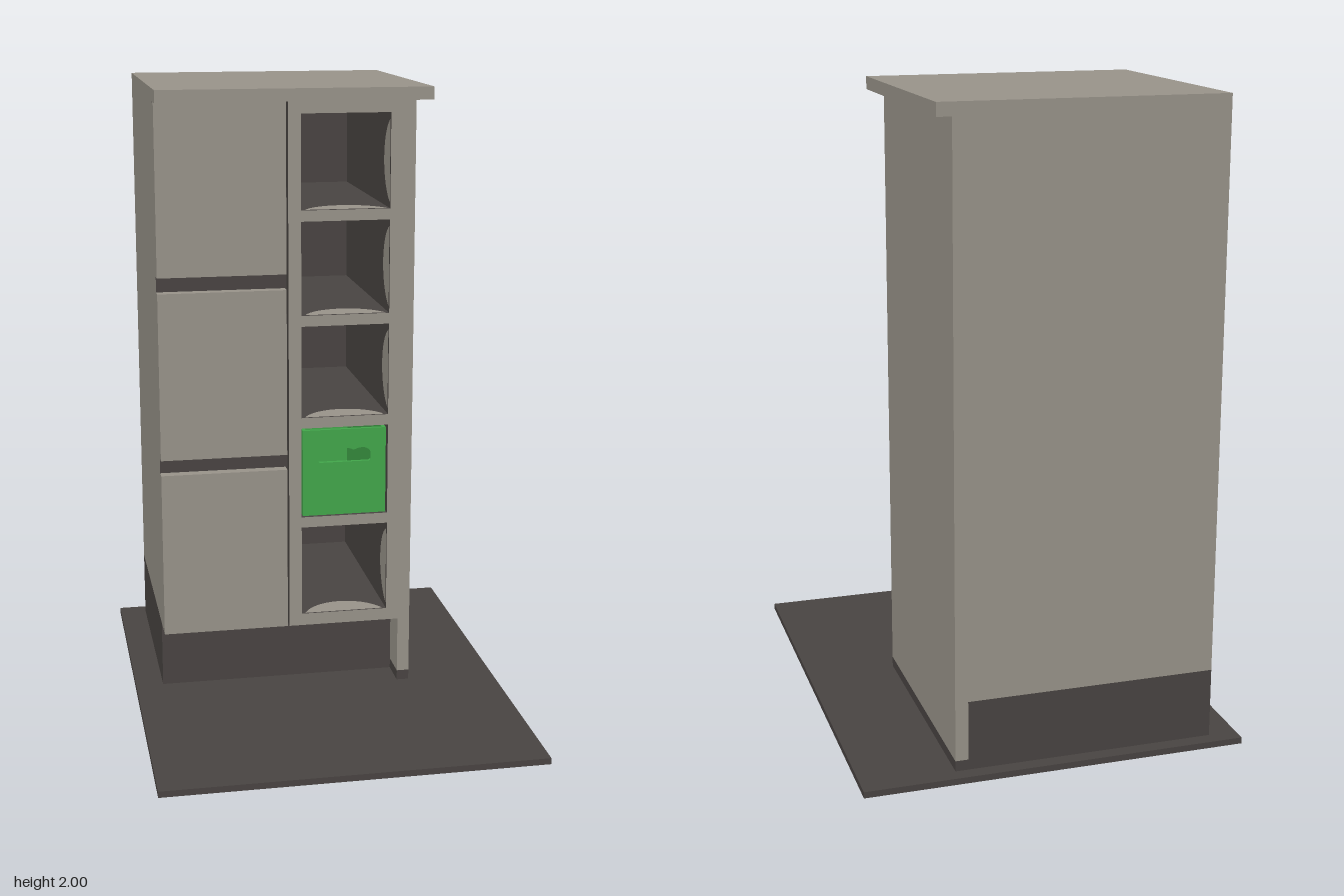
import * as THREE from 'three';

const mat = (name, color) => new THREE.MeshStandardMaterial({ name, color });

export function createModel() {
  const model = new THREE.Group();
  model.name = 'kitchenCabinet';
  const body = mat('warmGrey', 0x9b968c);
  const dark = mat('charcoal', 0x4a4543);
  const green = mat('green', 0x43a94c);

  // box given by its limits on each axis
  function box(name, [x0, x1], [y0, y1], [z0, z1], material, parent = model) {
    const mesh = new THREE.Mesh(new THREE.BoxGeometry(x1 - x0, y1 - y0, z1 - z0), material);
    mesh.position.set((x0 + x1) / 2, (y0 + y1) / 2, (z0 + z1) / 2);
    mesh.name = name;
    parent.add(mesh);
    return mesh;
  }
  function rect(path, x0, x1, y0, y1) {
    path.moveTo(x0, y0);
    path.lineTo(x1, y0);
    path.lineTo(x1, y1);
    path.lineTo(x0, y1);
    path.closePath();
    return path;
  }

  const BACK = -0.7, FRONT = 0.085, LEFT = -0.51;
  const darkFront = [body, body, body, body, dark, body];

  // floor sheet, recessed plinth and the foot of the side panel
  box('floorSheet', [-0.6, 0.6], [0, 0.02], [-0.745, 0.745], dark);
  box('plinth', [LEFT, 0.27], [0.02, 0.24], [BACK, -0.02], dark);
  box('sidePanelFoot', [0.27, 0.31], [0.02, 0.053], [BACK, FRONT], dark);

  // carcass, side panel and worktop
  box('drawerCarcass', [LEFT, -0.096], [0.24, 1.96], [BACK, 0.05], darkFront);
  box('shelfBack', [-0.096, 0.27], [0.24, 1.96], [BACK, -0.6], darkFront);
  box('sidePanel', [0.27, 0.31], [0.053, 1.96], [BACK, FRONT], body);
  box('worktop', [LEFT, 0.355], [1.96, 2], [BACK, 0.13], [body, body, body, dark, body, body]);

  // three drawer fronts with dark grip gaps between them
  [[0.24, 0.78], [0.83, 1.37], [1.42, 1.957]].forEach(y =>
    box('drawerFront', [LEFT, -0.102], y, [0.05, FRONT], body));

  // column of five open compartments with dark linings
  const cubbyY = [0.28, 0.615, 0.95, 1.285, 1.62];
  const CX0 = -0.055, CX1 = 0.23, CH = 0.3;
  const frame = rect(new THREE.Shape(), -0.096, 0.27, 0.24, 1.96);
  cubbyY.forEach(y => frame.holes.push(rect(new THREE.Path(), CX0, CX1, y, y + CH)));
  const frameGeo = new THREE.ExtrudeGeometry(frame, { depth: FRONT + 0.6, bevelEnabled: false });
  const shelfColumn = new THREE.Mesh(frameGeo, [body, dark]);
  shelfColumn.position.z = -0.6;
  shelfColumn.name = 'shelfColumn';
  model.add(shelfColumn);

  // light round-edged inlays at the mouth of each open compartment
  const R = 0.142, drop = 0.057, a = Math.asin(drop / R);
  const segment = new THREE.Shape();
  segment.absarc(0, -drop, R, a, Math.PI - a, false);
  segment.closePath();
  const inlayGeo = new THREE.ShapeGeometry(segment, 20).rotateX(-Math.PI / 2);
  const halfW = (CX1 - CX0) / 2, halfH = CH / 2, gap = 0.002;
  cubbyY.forEach((y, i) => {
    if (i === 1) return;
    const inlays = new THREE.Group();
    inlays.name = 'compartmentInlays';
    inlays.position.set((CX0 + CX1) / 2, y + halfH, FRONT - 0.001);
    [[0, -halfH + gap, 0], [-halfW + gap, 0, -Math.PI / 2],
      [halfW - gap, 0, Math.PI / 2], [0, halfH - gap, Math.PI]].forEach(([px, py, rz]) => {
      const inlay = new THREE.Mesh(inlayGeo, body);
      inlay.position.set(px, py, 0);
      inlay.rotation.z = rz;
      inlay.name = 'inlay';
      inlays.add(inlay);
    });
    model.add(inlays);
  });

  // green storage box, open on top, with a scalloped grip hole
  const bin = new THREE.Group();
  bin.name = 'storageBox';
  model.add(bin);
  const bx = [-0.05, 0.225], by = [0.617, 0.905], t = 0.012, bz = [-0.5, 0.078];
  const panel = rect(new THREE.Shape(), bx[0], bx[1], by[0], by[1]);
  const grip = new THREE.Path();
  grip.moveTo(0.008, 0.795);
  grip.lineTo(0.167, 0.795);
  grip.quadraticCurveTo(0.175, 0.795, 0.175, 0.803);
  grip.lineTo(0.175, 0.825);
  grip.quadraticCurveTo(0.16, 0.852, 0.118, 0.834);
  grip.quadraticCurveTo(0.0875, 0.85, 0.057, 0.834);
  grip.quadraticCurveTo(0.015, 0.852, 0, 0.825);
  grip.lineTo(0, 0.803);
  grip.quadraticCurveTo(0, 0.795, 0.008, 0.795);
  panel.holes.push(grip);
  const front = new THREE.Mesh(
    new THREE.ExtrudeGeometry(panel, { depth: t, bevelEnabled: false, curveSegments: 8 }), green);
  front.position.z = bz[1] - t;
  front.name = 'boxFront';
  bin.add(front);
  const inner = [bz[0] + t, bz[1] - t];
  box('boxBottom', bx, [by[0], by[0] + t], inner, green, bin);
  box('boxBack', bx, by, [bz[0], bz[0] + t], green, bin);
  box('boxSide', [bx[0], bx[0] + t], [by[0] + t, by[1]], inner, green, bin);
  box('boxSide', [bx[1] - t, bx[1]], [by[0] + t, by[1]], inner, green, bin);

  return model;
}
